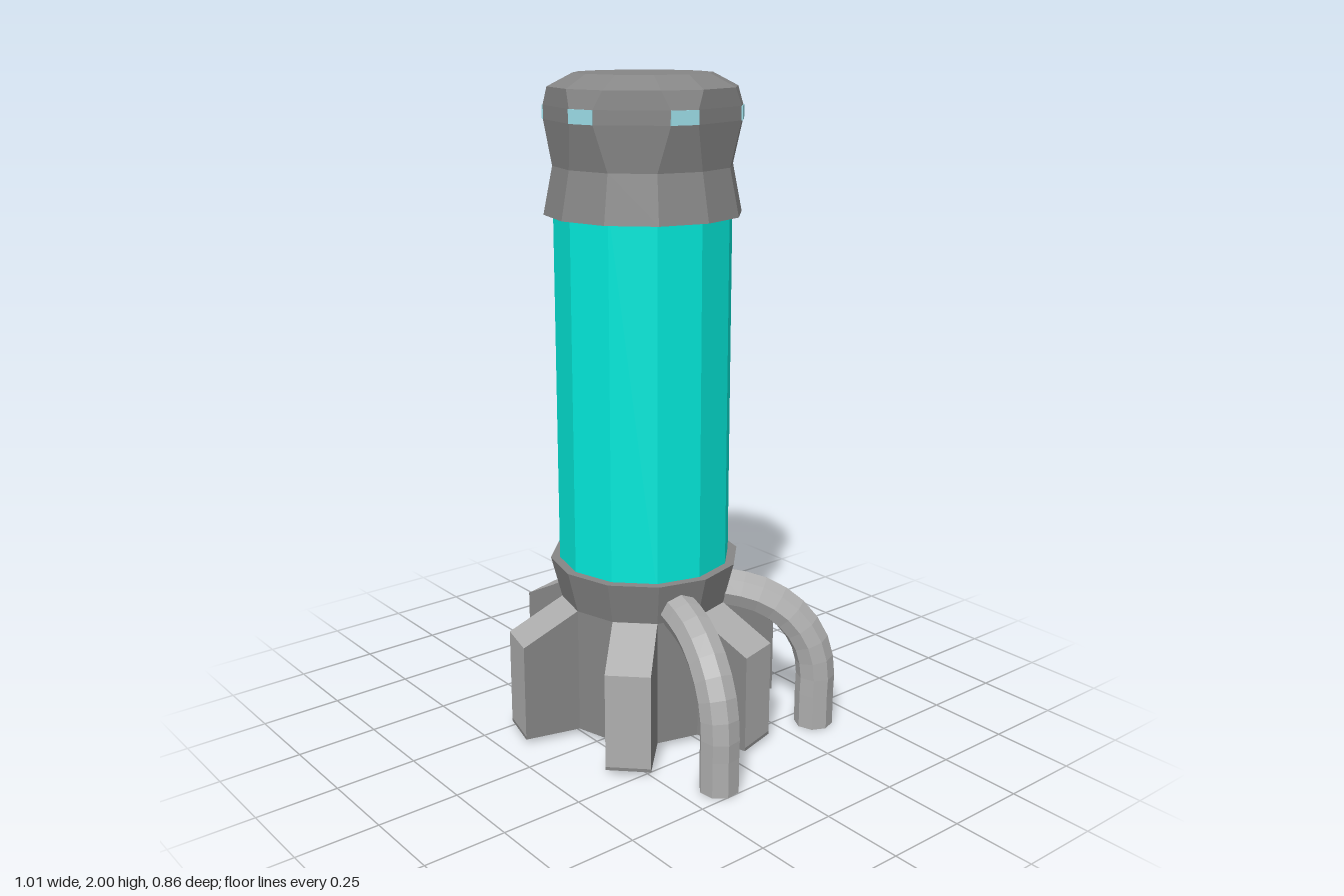
import * as THREE from 'three';

const RAD = Math.PI / 180;
const mat = (color) => new THREE.MeshStandardMaterial({ color, flatShading: true });

// Twelve-sided solid from rings [y, radius, half angle of every second facet]
function loft(rings) {
  const pos = [];
  const point = ([y, r, half = 15], i) => {
    const k = i % 12;
    const a = (15 + 60 * Math.floor(k / 2) + (k % 2 ? half : -half)) * RAD;
    return [r * Math.cos(a), y, r * Math.sin(a)];
  };
  const last = rings.length - 1;
  for (let i = 0; i < 12; i++) {
    for (let j = 0; j < last; j++) {
      const a = point(rings[j], i), b = point(rings[j + 1], i);
      const c = point(rings[j + 1], i + 1), d = point(rings[j], i + 1);
      pos.push(...a, ...b, ...c, ...a, ...c, ...d);
    }
    // end caps
    pos.push(0, rings[0][0], 0, ...point(rings[0], i), ...point(rings[0], i + 1));
    pos.push(0, rings[last][0], 0, ...point(rings[last], i + 1), ...point(rings[last], i));
  }
  const geo = new THREE.BufferGeometry();
  geo.setAttribute('position', new THREE.Float32BufferAttribute(pos, 3));
  geo.computeVertexNormals();
  return geo;
}

export function createModel() {
  const group = new THREE.Group();
  const body = new THREE.Group();
  body.name = 'canister';
  body.position.x = -0.077;
  group.add(body);

  const darkGrey = mat(0x868686);
  const lightGrey = mat(0xaeaeae);
  const teal = mat(0x02e9da);
  const paleBlue = mat(0x9cdde8);

  // Adds a part turned to an angle measured from +x towards +z
  const add = (name, geo, material, degrees = 0) => {
    const mesh = new THREE.Mesh(geo, material);
    mesh.name = name;
    mesh.rotation.y = -degrees * RAD;
    body.add(mesh);
  };

  // Base with flared collar, glass column, and cap with flared tabs
  add('base', loft([[0.015, 0.26], [0.41, 0.26], [0.54, 0.293]]), darkGrey);
  add('glassTube', loft([[0.5, 0.265], [1.65, 0.265]]), teal);
  add('cap', loft([
    [1.6, 0.293], [1.74, 0.265], [1.87, 0.288, 8.2], [1.91, 0.288, 8.2],
    [1.962, 0.276, 13.3], [2, 0.203],
  ]), darkGrey);

  // Six foot fins: dark cheeks and sole, light outer face and slope
  const finShape = new THREE.Shape([
    [0.22, 0.025], [0.426, 0.025], [0.426, 0.32], [0.252, 0.41], [0.22, 0.41],
  ].map(([x, y]) => new THREE.Vector2(x, y)));
  const finGeo = new THREE.ExtrudeGeometry(finShape, { depth: 0.135, bevelEnabled: false });
  finGeo.translate(0, 0, -0.0675);
  const soleGeo = new THREE.BoxGeometry(0.206, 0.01, 0.135);
  soleGeo.translate(0.323, 0.02, 0);
  // Cap lights on the flared tabs
  const lightGeo = new THREE.BoxGeometry(0.02, 0.04, 0.084);
  lightGeo.translate(0.278, 1.89, 0);
  for (let k = 0; k < 6; k++) {
    add('fin', finGeo, [darkGrey, lightGrey], -15 + 60 * k);
    add('finSole', soleGeo, darkGrey, -15 + 60 * k);
    add('capLight', lightGeo, paleBlue, 15 + 60 * k);
  }

  // Two bent pipes from the collar to the ground
  const path = new THREE.CatmullRomCurve3([
    [0.2, 0.445], [0.28, 0.44], [0.375, 0.418], [0.458, 0.366],
    [0.516, 0.288], [0.54, 0.2], [0.54, 0.1], [0.54, 0],
  ].map(([x, y]) => new THREE.Vector3(x, y, 0)));
  const pipeGeo = new THREE.TubeGeometry(path, 12, 0.06, 8);
  const endGeo = new THREE.CircleGeometry(0.06, 8);
  endGeo.rotateX(Math.PI / 2).translate(0.54, 0, 0);
  for (const angle of [15, -42]) {
    add('pipe', pipeGeo, lightGrey, angle);
    add('pipeEnd', endGeo, lightGrey, angle);
  }
  return group;
}
